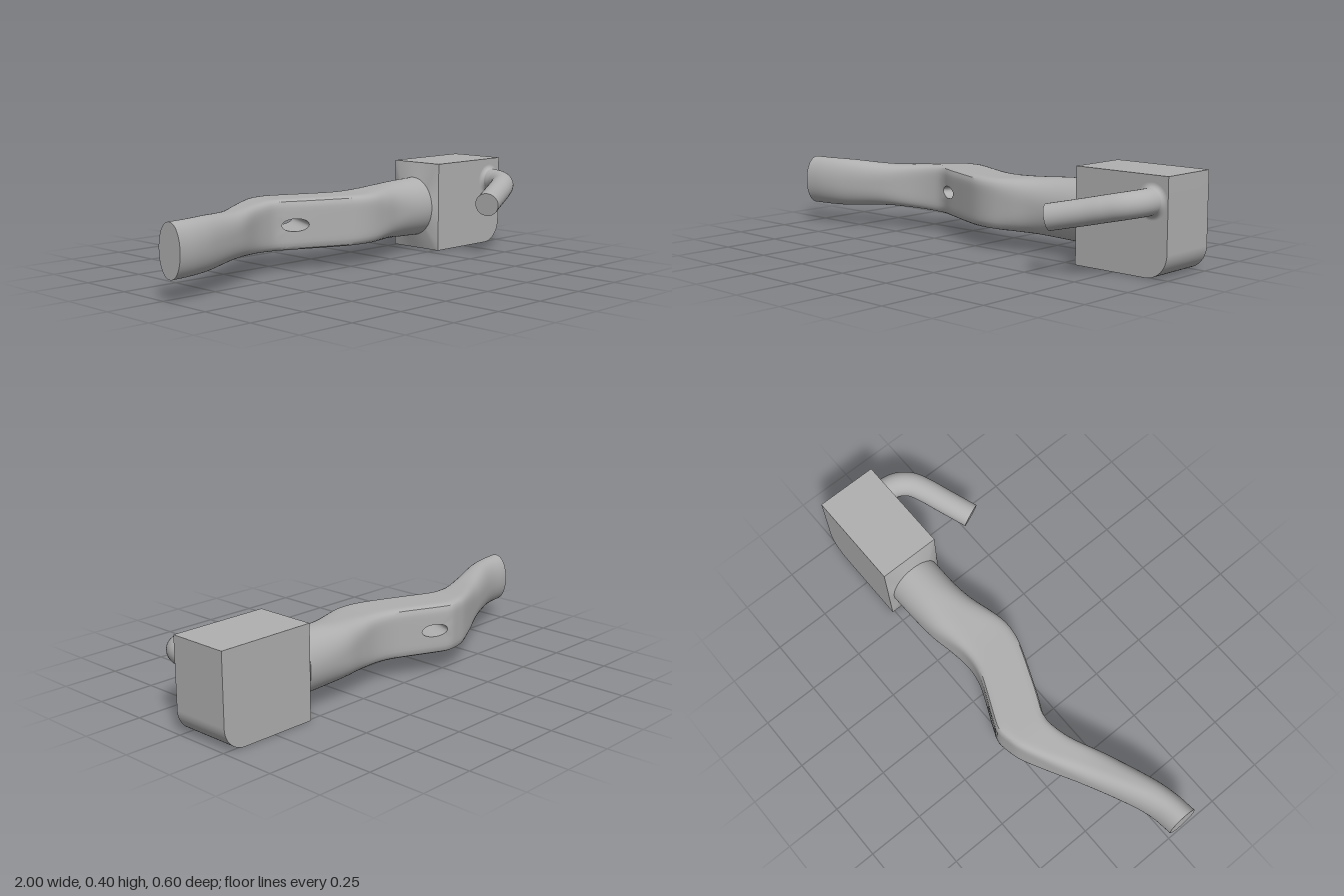
import * as THREE from 'three';
import { toCreasedNormals } from 'three/addons/utils/BufferGeometryUtils.js';

const V = (x, y, z) => new THREE.Vector3(x, y, z);

// Arm sections: x, back z, front z, half height, squareness (2 = oval)
const SECTIONS = [
  [-1, -0.02, 0.11, 0.11, 2.1], [-0.9, -0.035, 0.097, 0.11, 2.1], [-0.8, -0.07, 0.07, 0.108, 2.3],
  [-0.6, -0.165, -0.01, 0.096, 3], [-0.45, -0.24, -0.085, 0.102, 5], [-0.35, -0.285, -0.113, 0.108, 7],
  [-0.3, -0.297, -0.108, 0.109, 8], [-0.24, -0.305, -0.08, 0.109, 8], [-0.2, -0.292, -0.062, 0.109, 8],
  [-0.02, -0.213, 0.01, 0.109, 8], [0.05, -0.195, 0.03, 0.109, 7], [0.12, -0.193, 0.034, 0.11, 6],
  [0.2, -0.207, 0.022, 0.114, 4], [0.3, -0.23, 0, 0.12, 2.8], [0.4, -0.24, -0.01, 0.128, 2.2],
  [0.54, -0.245, -0.012, 0.134, 2],
];
const MID_Y = 0.197;

// Smooth interpolation through the section table
function sectionAt(x) {
  const S = SECTIONS, last = S.length - 1;
  let i = 0;
  while (i < last - 1 && x > S[i + 1][0]) i++;
  const h = S[i + 1][0] - S[i][0], t = (x - S[i][0]) / h;
  const slope = (k, c) => {
    const a = S[Math.max(k - 1, 0)], b = S[Math.min(k + 1, last)];
    return (b[c] - a[c]) / (b[0] - a[0]);
  };
  const [back, front, hy, n] = [1, 2, 3, 4].map((c) =>
    (2 * t ** 3 - 3 * t ** 2 + 1) * S[i][c] + (t ** 3 - 2 * t ** 2 + t) * h * slope(i, c) +
    (3 * t ** 2 - 2 * t ** 3) * S[i + 1][c] + (t ** 3 - t ** 2) * h * slope(i + 1, c));
  return { cy: MID_Y, cz: (back + front) / 2, hz: (front - back) / 2, hy, n };
}

function creased(geometry, angle) {
  geometry.scale(20, 20, 20);
  const g = toCreasedNormals(geometry, angle);
  g.scale(0.05, 0.05, 0.05);
  return g;
}

function armGeometry() {
  const N = 64, STEPS = 77, positions = [];
  const tri = (...pts) => pts.forEach((p) => positions.push(p.x, p.y, p.z));
  const quad = (a, b, c, d) => { tri(a, b, c); tri(a, c, d); };

  const ring = (x, s) => Array.from({ length: N }, (_, j) => {
    const a = (j / N) * Math.PI * 2, c = Math.cos(a), d = Math.sin(a);
    const r = 1 / (Math.abs(c) ** s.n + Math.abs(d) ** s.n) ** (1 / s.n);
    return V(x, s.cy + s.hy * d * r, s.cz + s.hz * c * r);
  });
  const rings = [];
  for (let i = 0; i <= STEPS; i++) {
    const x = -1 + i * 0.02;
    rings.push(ring(x, sectionAt(x)));
  }
  // Flare out to the rectangular face of the block
  rings.push(ring(0.56, { cy: 0.2, cz: -0.125, hy: 0.2, hz: 0.135, n: 80 }));

  // Slanted through hole: an 8 x 8 patch is opened on the front and the back
  const holes = [
    { side: 1, i: 38, x: -0.245 },
    { side: -1, i: 42, x: -0.165 },
  ];
  const column = (side, v) => ((side > 0 ? v : N / 2 - v) + N) % N;
  const open = new Set();
  const rims = holes.map(({ side, i, x }) => {
    for (let u = -4; u < 4; u++) for (let v = -4; v < 4; v++) {
      open.add((i + u) + ',' + column(side, side > 0 ? v : v + 1));
    }
    const walk = [];
    for (let k = -4; k < 4; k++) walk.push([k, -4]);
    for (let k = -4; k < 4; k++) walk.push([4, k]);
    for (let k = 4; k > -4; k--) walk.push([k, 4]);
    for (let k = 4; k > -4; k--) walk.push([-4, k]);
    const outer = walk.map(([u, v]) => rings[i + u][column(side, v)]);
    const inner = walk.map(([u, v]) => {
      const l = Math.hypot(u, v), px = x + 0.055 * u / l, dy = 0.027 * v / l;
      const s = sectionAt(px);
      return V(px, s.cy + dy, s.cz + side * s.hz * (1 - Math.abs(dy / s.hy) ** s.n) ** (1 / s.n));
    });
    return { side, outer, inner };
  });

  for (let i = 0; i < rings.length - 1; i++) for (let j = 0; j < N; j++) {
    if (open.has(i + ',' + j)) continue;
    const k = (j + 1) % N;
    quad(rings[i][j], rings[i + 1][j], rings[i + 1][k], rings[i][k]);
  }
  const M = rims[0].inner.length;
  for (let k = 0; k < M; k++) {
    const m = (k + 1) % M;
    for (const { side, outer, inner } of rims) {
      const q = [outer[k], outer[m], inner[m], inner[k]];
      quad(...(side > 0 ? q : q.reverse()));
    }
    const [f, b] = rims.map((r) => r.inner);
    quad(f[k], f[m], b[m], b[k]);
  }
  // Flat end cap
  const centre = V(-1, MID_Y, 0.045);
  for (let j = 0; j < N; j++) tri(centre, rings[0][j], rings[0][(j + 1) % N]);

  const g = new THREE.BufferGeometry();
  g.setAttribute('position', new THREE.Float32BufferAttribute(positions, 3));
  return creased(g, 0.6);
}

export function createModel() {
  const model = new THREE.Group();
  const grey = new THREE.MeshStandardMaterial({ color: 0xb0b0b0 });
  grey.name = 'grey';
  const add = (name, geometry) => {
    const mesh = new THREE.Mesh(geometry, grey);
    mesh.name = name;
    model.add(mesh);
    return mesh;
  };

  add('arm', armGeometry());

  // Block with one rounded lower corner
  const outline = new THREE.Shape();
  outline.moveTo(0.56, 0);
  outline.lineTo(0.9, 0);
  outline.absarc(0.9, 0.1, 0.1, -Math.PI / 2, 0, false);
  outline.lineTo(1, 0.4);
  outline.lineTo(0.56, 0.4);
  outline.closePath();
  const block = new THREE.ExtrudeGeometry(outline, { depth: 0.27, bevelEnabled: false, curveSegments: 24 });
  block.translate(0, 0, -0.26);
  add('block', creased(block, 0.5));

  // Bent peg on the front of the block
  const path = new THREE.CatmullRomCurve3([
    V(0.925, 0.298, -0.02), V(0.925, 0.298, 0.025), V(0.915, 0.296, 0.075), V(0.88, 0.289, 0.125),
    V(0.82, 0.276, 0.16), V(0.75, 0.26, 0.19), V(0.615, 0.231, 0.248),
  ]);
  add('peg', new THREE.TubeGeometry(path, 64, 0.053, 32));
  const pegEnd = add('pegEnd', new THREE.CircleGeometry(0.053, 32));
  pegEnd.position.copy(path.getPoint(1));
  pegEnd.lookAt(path.getPoint(1).add(path.getTangent(1)));

  // Small fillet where the peg meets the block
  const profile = [];
  for (let k = 0; k <= 8; k++) {
    const a = (k / 8) * Math.PI / 2;
    profile.push(new THREE.Vector2(0.073 - 0.021 * Math.sin(a), 0.021 - 0.021 * Math.cos(a)));
  }
  const fillet = add('pegFillet', new THREE.LatheGeometry(profile, 32));
  fillet.rotation.x = Math.PI / 2;
  fillet.position.set(0.925, 0.298, 0.01);

  return model;
}
